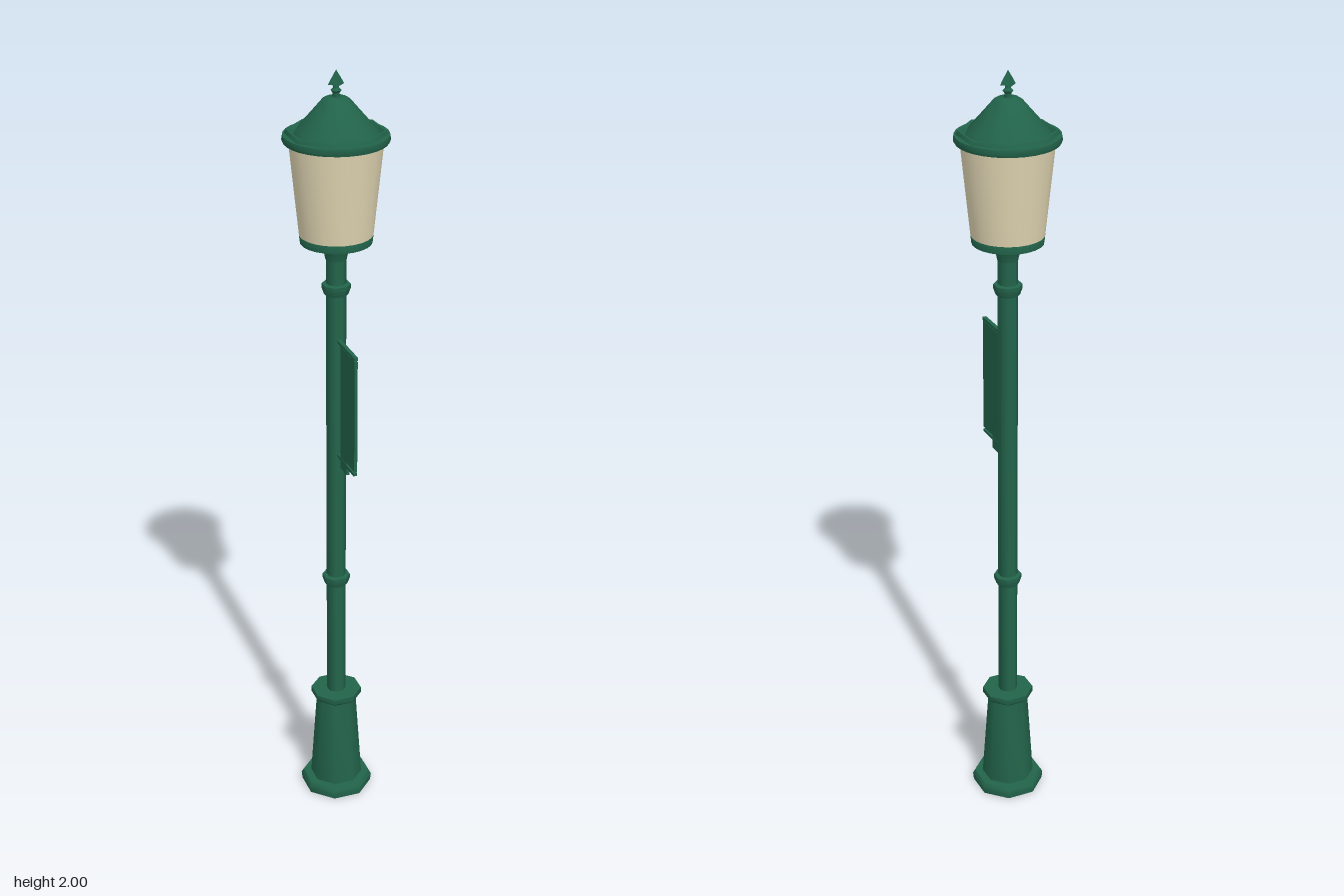
import * as THREE from 'three';
import { toCreasedNormals } from 'three/addons/utils/BufferGeometryUtils.js';

export function createModel() {
  const model = new THREE.Group();
  model.name = 'streetLamp';
  const green = new THREE.MeshStandardMaterial({ color: 0x22634a });
  green.name = 'green paint';
  const cream = new THREE.MeshStandardMaterial({ color: 0xe0d5b2 });
  cream.name = 'cream glass';

  // All round parts share one axis, slightly behind the centre
  const AXIS_Z = -0.007;

  // Turned part: profile of [radius, height] from bottom to top
  function turned(name, profile, sides, material = green, spin = Math.PI / sides) {
    const points = profile.map(([r, y]) => new THREE.Vector2(r, y));
    const geometry = new THREE.LatheGeometry(points, sides, spin);
    const mesh = new THREE.Mesh(toCreasedNormals(geometry, 0.82), material);
    mesh.name = name;
    mesh.position.z = AXIS_Z;
    model.add(mesh);
  }

  function box(name, w, y0, y1, z0, z1) {
    const mesh = new THREE.Mesh(new THREE.BoxGeometry(w, y1 - y0, z1 - z0), green);
    mesh.name = name;
    mesh.position.set(0, (y0 + y1) / 2, (z0 + z1) / 2);
    model.add(mesh);
  }

  // Pedestal
  turned('plinth', [[0, 0], [0.094, 0], [0.096, 0.02], [0.09, 0.03], [0, 0.03]], 8);
  turned('pedestal', [[0.069, 0.03], [0.052, 0.285]], 8);
  turned('pedestalCap', [[0, 0.28], [0.058, 0.28], [0.067, 0.288], [0.067, 0.303], [0, 0.303]], 8);

  // Post with two collars
  turned('post', [[0.025, 0.3], [0.025, 1.55]], 8);
  for (const y of [0.645, 1.46]) {
    turned('collar', [[0.024, y - 0.016], [0.03, y - 0.015], [0.036, y + 0.002],
      [0.036, y + 0.012], [0.024, y + 0.014]], 8);
  }

  // Lantern
  turned('lanternNeck', [[0, 1.535], [0.026, 1.535], [0.03, 1.555], [0.046, 1.585]], 12);
  turned('lanternDish', [[0, 1.58], [0.088, 1.58], [0.09, 1.6], [0.086, 1.608], [0, 1.608]], 24);
  turned('lanternGlass', [[0.09, 1.6], [0.114, 1.835]], 24, cream);
  turned('roofRim', [[0, 1.83], [0.126, 1.83], [0.129, 1.836], [0.127, 1.848],
    [0.112, 1.848], [0, 1.842]], 32);

  // Octagonal gutter lip around a conical roof
  turned('gutterLip', [[0.124, 1.846], [0.119, 1.857], [0.114, 1.857], [0.1, 1.842]], 8);
  turned('roof', [[0.106, 1.842], [0.095, 1.86], [0.06, 1.9], [0.034, 1.93], [0.026, 1.935], [0, 1.936]], 12);

  // Finial
  turned('finialStem', [[0.01, 1.93], [0.008, 1.945], [0.013, 1.952], [0.007, 1.958], [0.007, 1.968]], 8);
  turned('finialSpike', [[0, 1.962], [0.02, 1.966], [0.011, 1.982], [0, 2]], 4, green, 0);

  // Banner on two arms facing forward
  box('banner', 0.008, 1.025, 1.322, 0.036, 0.135);
  box('upperArm', 0.01, 1.324, 1.332, 0.01, 0.135);
  box('lowerArm', 0.01, 1.012, 1.02, 0.01, 0.132);
  box('bannerTab', 0.008, 0.99, 1.027, 0.036, 0.08);

  return model;
}
